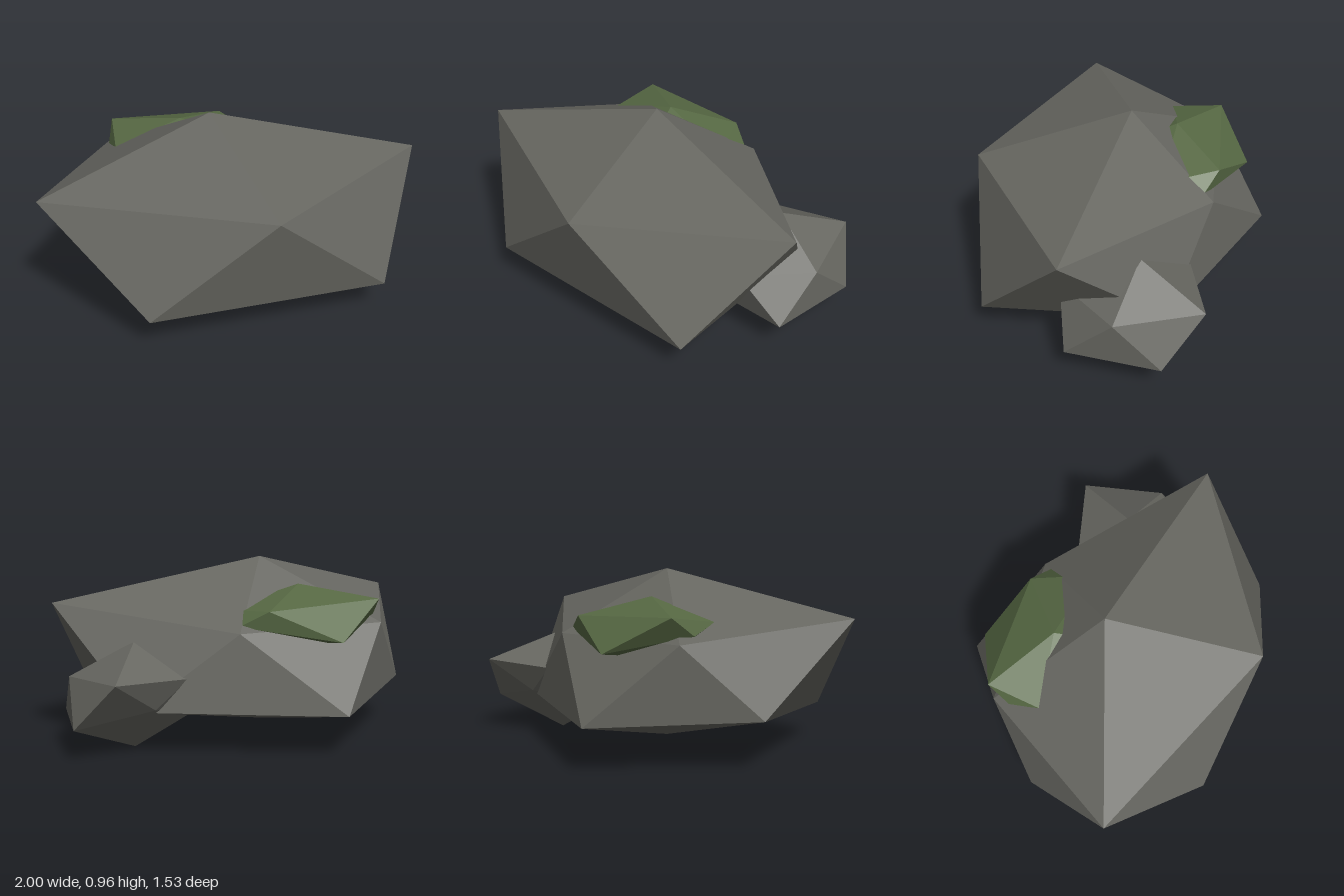
import * as THREE from 'three';

// Lumpy twenty-sided stone: a top point, an upper ring, a lower ring and a bottom point.
// Both rings run from +x towards +z; the lower ring sits half a step further round.
function facetedStone(name, material, top, upper, lower, bottom) {
  const corners = [];
  for (let i = 0; i < 5; i++) {
    const j = (i + 1) % 5;
    corners.push(
      top, upper[j], upper[i],
      upper[i], upper[j], lower[i],
      upper[j], lower[j], lower[i],
      bottom, lower[i], lower[j],
    );
  }
  const geometry = new THREE.BufferGeometry();
  geometry.setAttribute('position', new THREE.Float32BufferAttribute(corners.flat(), 3));
  geometry.computeVertexNormals();
  const mesh = new THREE.Mesh(geometry, material);
  mesh.name = name;
  return mesh;
}

export function createModel() {
  const stone = new THREE.MeshStandardMaterial({ color: 0x666660, flatShading: true });
  stone.name = 'stone grey';
  const moss = new THREE.MeshStandardMaterial({ color: 0x566843, flatShading: true });
  moss.name = 'moss green';

  const model = new THREE.Group();
  model.name = 'mossyBoulder';

  // Large boulder
  model.add(facetedStone('boulder', stone,
    [-0.12, 0.96, -0.055],
    [[1, 0.735, -0.055], [0.2, 0.715, 0.72], [-1, 0.73, 0.46], [-0.7, 0.63, -0.4], [0.1, 0.625, -0.58]],
    [[0.79, 0.18, 0.47], [-0.45, 0.19, 0.765], [-0.93, 0.26, -0.06], [-0.41, 0.225, -0.77], [0.61, 0.23, -0.49]],
    [-0.12, 0.05, -0.055]));

  // Small rock leaning on the back left corner
  model.add(facetedStone('smallRock', stone,
    [0.6, 0.565, -0.335],
    [[0.93, 0.39, -0.3], [0.72, 0.4, 0.05], [0.28, 0.4, -0.1], [0.35, 0.4, -0.53], [0.73, 0.42, -0.71]],
    [[0.945, 0.16, -0.05], [0.48, 0.18, 0.06], [0.24, 0.2, -0.3], [0.52, 0.25, -0.54], [0.925, 0.17, -0.55]],
    [0.6, 0, -0.3]));

  // Moss cushion on the back slope
  model.add(facetedStone('mossPatch', moss,
    [-0.28, 0.83, -0.27],
    [[0.14, 0.71, -0.3], [-0.15, 0.74, -0.03], [-0.64, 0.72, -0.14], [-0.675, 0.76, -0.43], [-0.05, 0.73, -0.57]],
    [[0.06, 0.57, -0.12], [-0.42, 0.57, -0.03], [-0.69, 0.665, -0.305], [-0.41, 0.575, -0.655], [0.095, 0.65, -0.52]],
    [-0.28, 0.52, -0.3]));

  return model;
}
